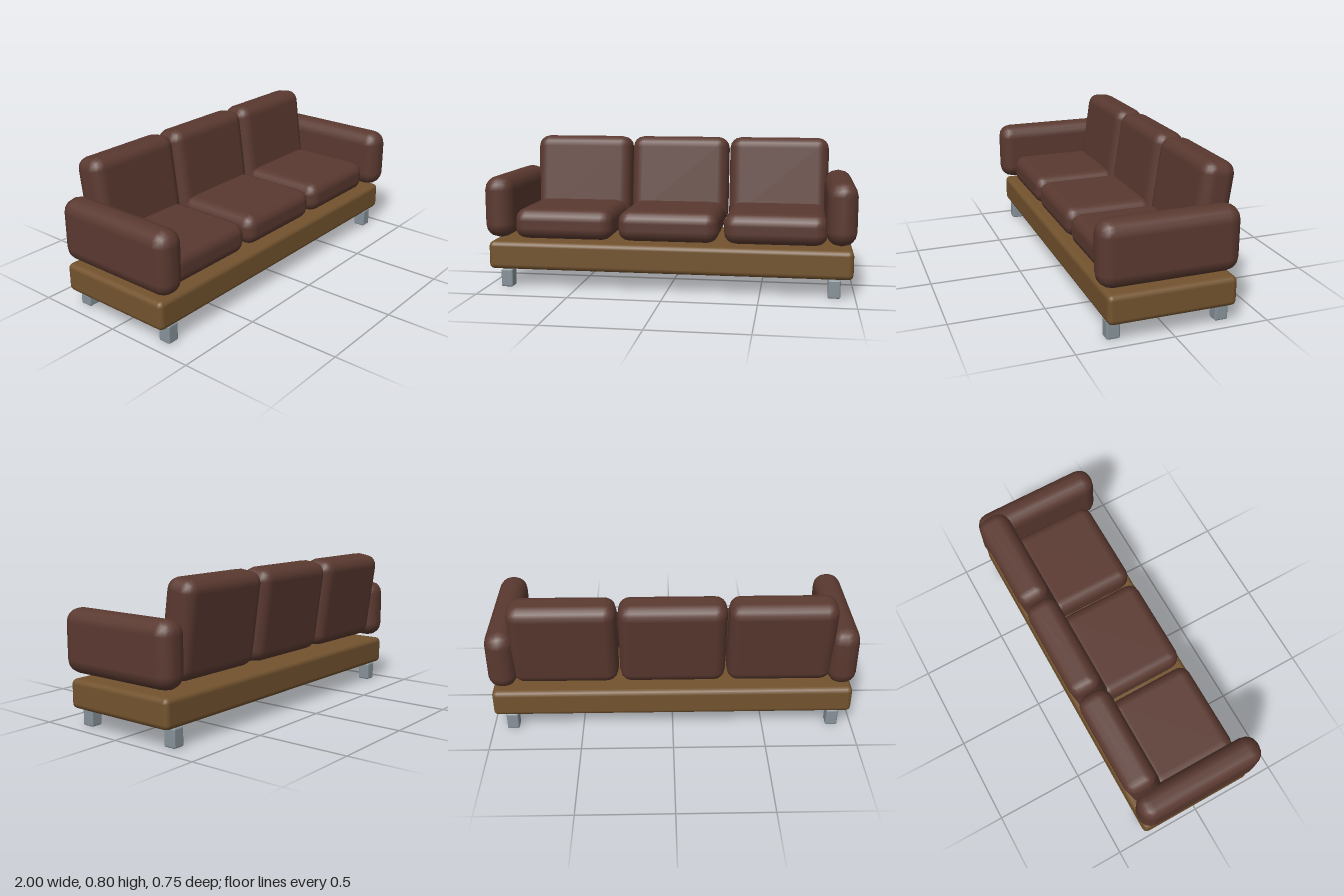
import * as THREE from 'three';
import { RoundedBoxGeometry } from 'three/addons/geometries/RoundedBoxGeometry.js';

const leather = new THREE.MeshStandardMaterial({ name: 'brownLeather', color: 0x5a3930 });
const wood = new THREE.MeshStandardMaterial({ name: 'wood', color: 0x73532e });
const metal = new THREE.MeshStandardMaterial({ name: 'greyMetal', color: 0x87939a });

// Softly rounded block, given its size, corner radius and centre
function block(name, material, [w, h, d], radius, [x, y, z]) {
  const mesh = new THREE.Mesh(new RoundedBoxGeometry(w, h, d, 2, radius), material);
  mesh.name = name;
  mesh.position.set(x, y, z);
  return mesh;
}

export function createModel() {
  const sofa = new THREE.Group();
  sofa.name = 'sofa';

  // Wooden platform
  sofa.add(block('base', wood, [1.975, 0.155, 0.67], 0.028, [0, 0.178, 0]));

  for (const side of [-1, 1]) {
    const label = side > 0 ? 'left' : 'right';

    // Armrests, set slightly forward
    sofa.add(block(label + 'Arm', leather, [0.16, 0.337, 0.727], 0.075, [side * 0.92, 0.447, 0.0135]));

    // Feet
    for (const z of [-0.286, 0.286]) {
      const end = z > 0 ? 'Front' : 'Back';
      sofa.add(block(label + end + 'Leg', metal, [0.066, 0.1, 0.07], 0.009, [side * 0.89, 0.05, z]));
    }
  }

  // Three places: a seat cushion and a reclined back cushion each
  ['right', 'middle', 'left'].forEach((label, i) => {
    const x = (i - 1) * 0.578;
    sofa.add(block(label + 'SeatCushion', leather, [0.55, 0.168, 0.505], 0.064, [x, 0.348, 0.054]));

    const back = block(label + 'BackCushion', leather, [0.57, 0.5, 0.178], 0.064, [x, 0.548, -0.26]);
    back.rotation.x = -THREE.MathUtils.degToRad(8);
    sofa.add(back);
  });

  return sofa;
}
